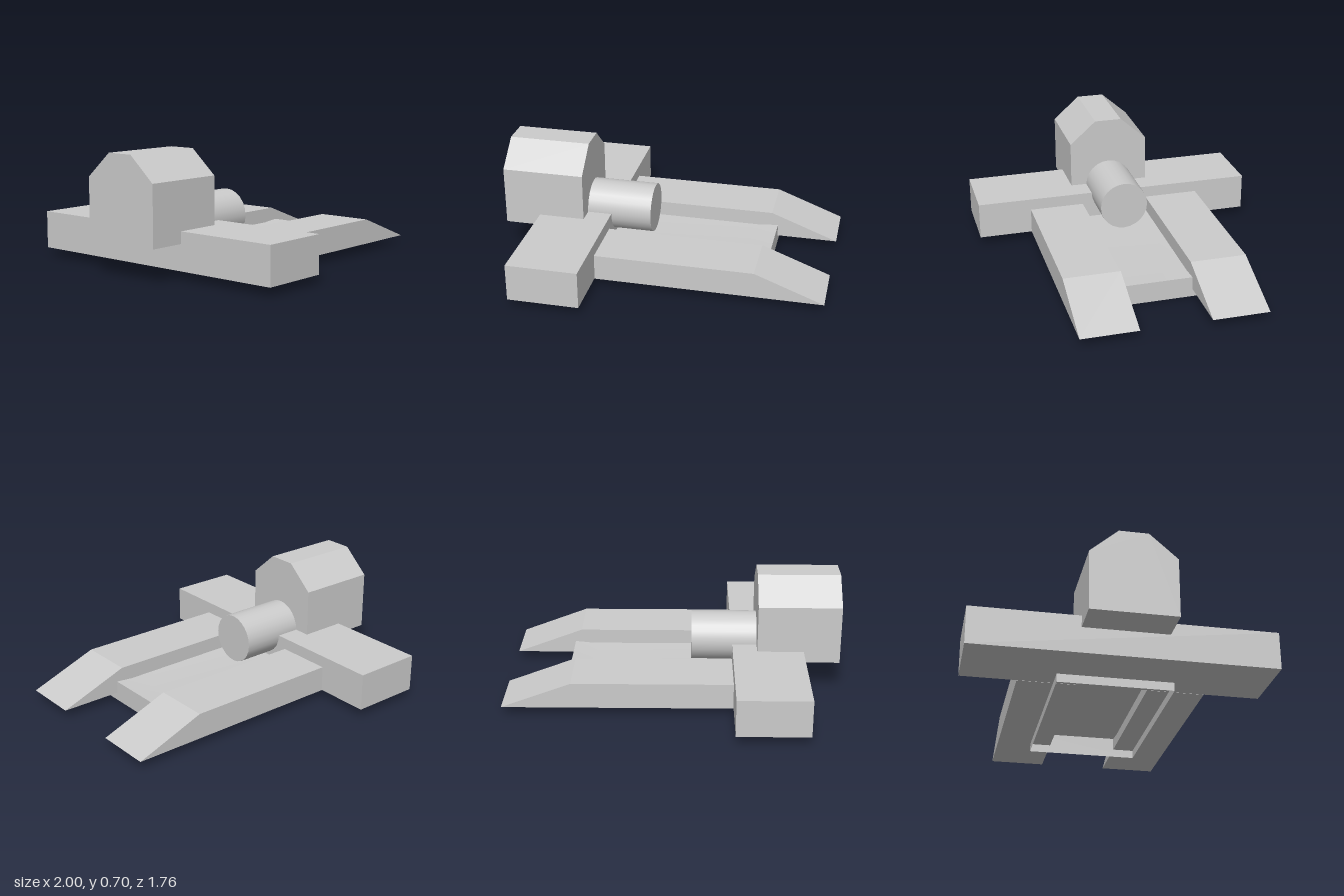
import * as THREE from 'three';

const solid = new THREE.MeshStandardMaterial({ color: 0xcccccc });
const thin = new THREE.MeshStandardMaterial({ color: 0xcccccc, side: THREE.DoubleSide });

function part(name, geometry, x = 0, y = 0, z = 0, material = solid) {
  const mesh = new THREE.Mesh(geometry, material);
  mesh.name = name;
  mesh.position.set(x, y, z);
  return mesh;
}

function extrude(points, depth) {
  const shape = new THREE.Shape(points.map(([x, y]) => new THREE.Vector2(x, y)));
  return new THREE.ExtrudeGeometry(shape, { depth, bevelEnabled: false });
}

// Joins rectangles given as [halfX, halfZ, y], optionally closing the last one.
function loft(rects, capped) {
  const positions = [], index = [];
  for (const [hx, hz, y] of rects) {
    positions.push(hx, y, hz, hx, y, -hz, -hx, y, -hz, -hx, y, hz);
  }
  for (let r = 0; r < rects.length - 1; r++) {
    for (let i = 0; i < 4; i++) {
      const a = r * 4 + i, b = r * 4 + (i + 1) % 4;
      index.push(a, b, b + 4, a, b + 4, a + 4);
    }
  }
  if (capped) {
    const n = (rects.length - 1) * 4;
    index.push(n, n + 1, n + 2, n, n + 2, n + 3);
  }
  const geometry = new THREE.BufferGeometry();
  geometry.setAttribute('position', new THREE.Float32BufferAttribute(positions, 3));
  geometry.setIndex(index);
  const result = capped ? geometry : geometry.toNonIndexed();
  result.computeVertexNormals();
  return result;
}

export function createModel() {
  const model = new THREE.Group();
  model.name = 'model';

  // Wide block across the rear
  model.add(part('crossBlock', new THREE.BoxGeometry(0.425, 0.225, 1.76), -0.57, 0.163, 0));

  // Two long prongs with wedge tips
  const prong = [[-0.356, 0.05], [1, 0.05], [0.59, 0.205], [-0.356, 0.205]];
  for (const [name, z] of [['leftProng', 0.21], ['rightProng', -0.55]]) {
    model.add(part(name, extrude(prong, 0.34), 0, 0, z));
  }

  // Cabin with chamfered roof, extruded along x
  const profile = [[-0.25, 0.205], [0.25, 0.205], [0.25, 0.56], [0.085, 0.705], [-0.085, 0.705], [-0.25, 0.56]];
  const cabin = extrude(profile, 0.495).rotateY(Math.PI / 2);
  model.add(part('cabin', cabin, -1, 0, 0));

  // Round barrel in front of the cabin
  const barrel = new THREE.CylinderGeometry(0.15, 0.15, 0.395, 24).rotateZ(Math.PI / 2);
  model.add(part('barrel', barrel, -0.308, 0.275, 0));

  // Open-bottomed deck: upright walls and a shallow dished top
  const deck = new THREE.Group();
  deck.name = 'deck';
  deck.position.x = 0.07;
  deck.add(part('deckWalls', loft([[0.56, 0.34, 0], [0.56, 0.34, 0.125]], false), 0, 0, 0, thin));
  deck.add(part('deckPan', loft([[0.56, 0.34, 0.125], [0.41, 0.16, 0.11]], true), 0, 0, 0, thin));
  model.add(deck);

  return model;
}
